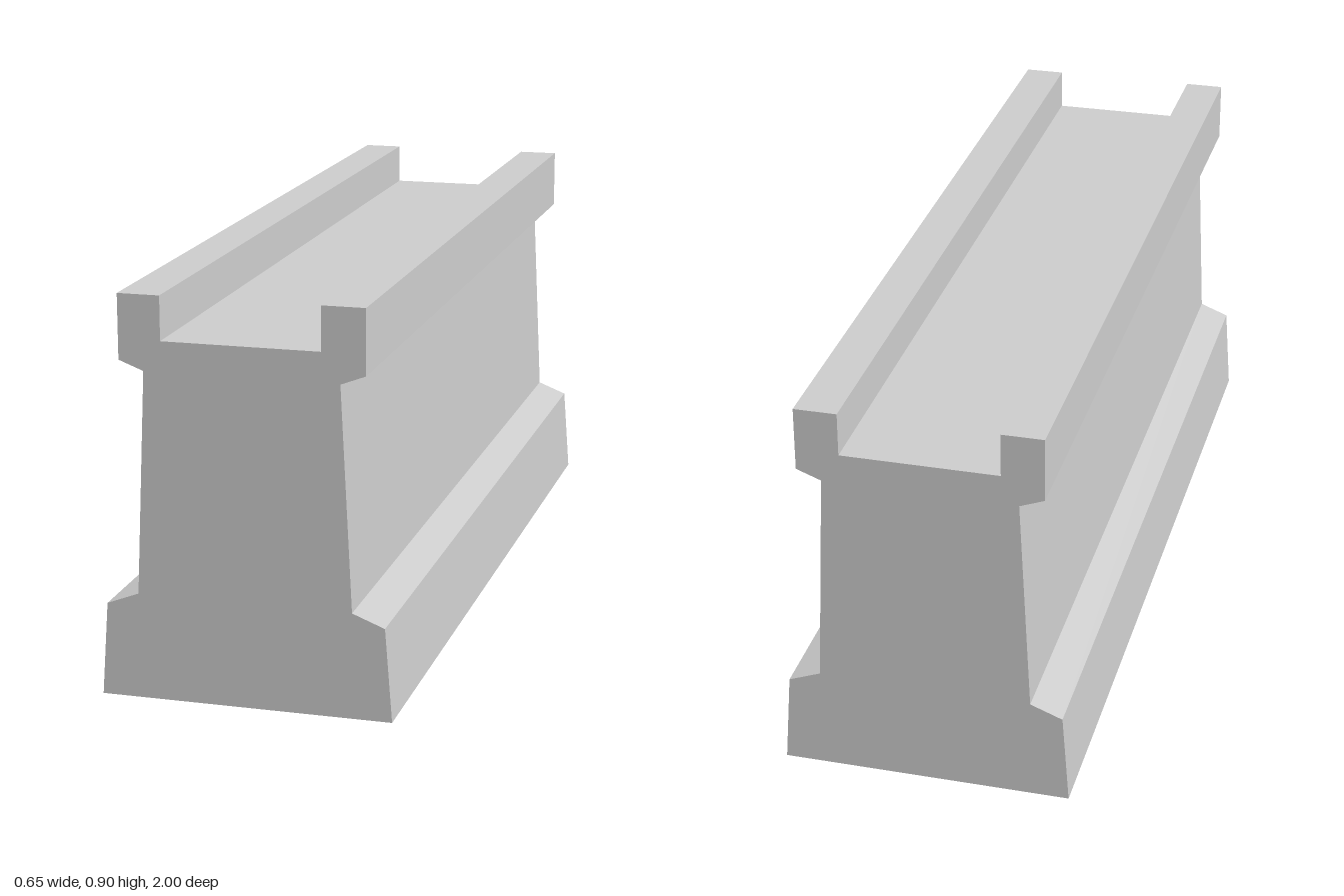
import * as THREE from 'three';

const LENGTH = 2;

// Cross-section of the wall, one side from the ground up: [right x, left x, y]
const SECTION = [
  [0.326, -0.327, 0],      // foot of the plinth
  [0.31, -0.312, 0.21],    // top of the plinth
  [0.238, -0.24, 0.238],   // sloped ledge meets the wall
  [0.214, -0.217, 0.735],  // wall tapers up to the overhang
  [0.269, -0.272, 0.756],  // underside of the parapet
  [0.269, -0.272, 0.9],    // parapet outer top
  [0.173, -0.178, 0.9],    // parapet inner top
  [0.173, -0.178, 0.802],  // edge of the walkway
];

export function createModel() {
  const group = new THREE.Group();
  group.name = 'wallSegment';

  // Up one side, then back down the other
  const outline = [
    ...SECTION.map(([x, , y]) => new THREE.Vector2(x, y)),
    ...SECTION.map(([, x, y]) => new THREE.Vector2(x, y)).reverse(),
  ];

  // Straight wall with plinth, walkway and twin parapets
  const geometry = new THREE.ExtrudeGeometry(new THREE.Shape(outline), {
    depth: LENGTH,
    bevelEnabled: false,
  });
  geometry.translate(0, 0, -LENGTH / 2);

  const wall = new THREE.Mesh(
    geometry,
    new THREE.MeshStandardMaterial({ color: 0xcccccc, flatShading: true })
  );
  wall.name = 'wall';
  group.add(wall);
  return group;
}
